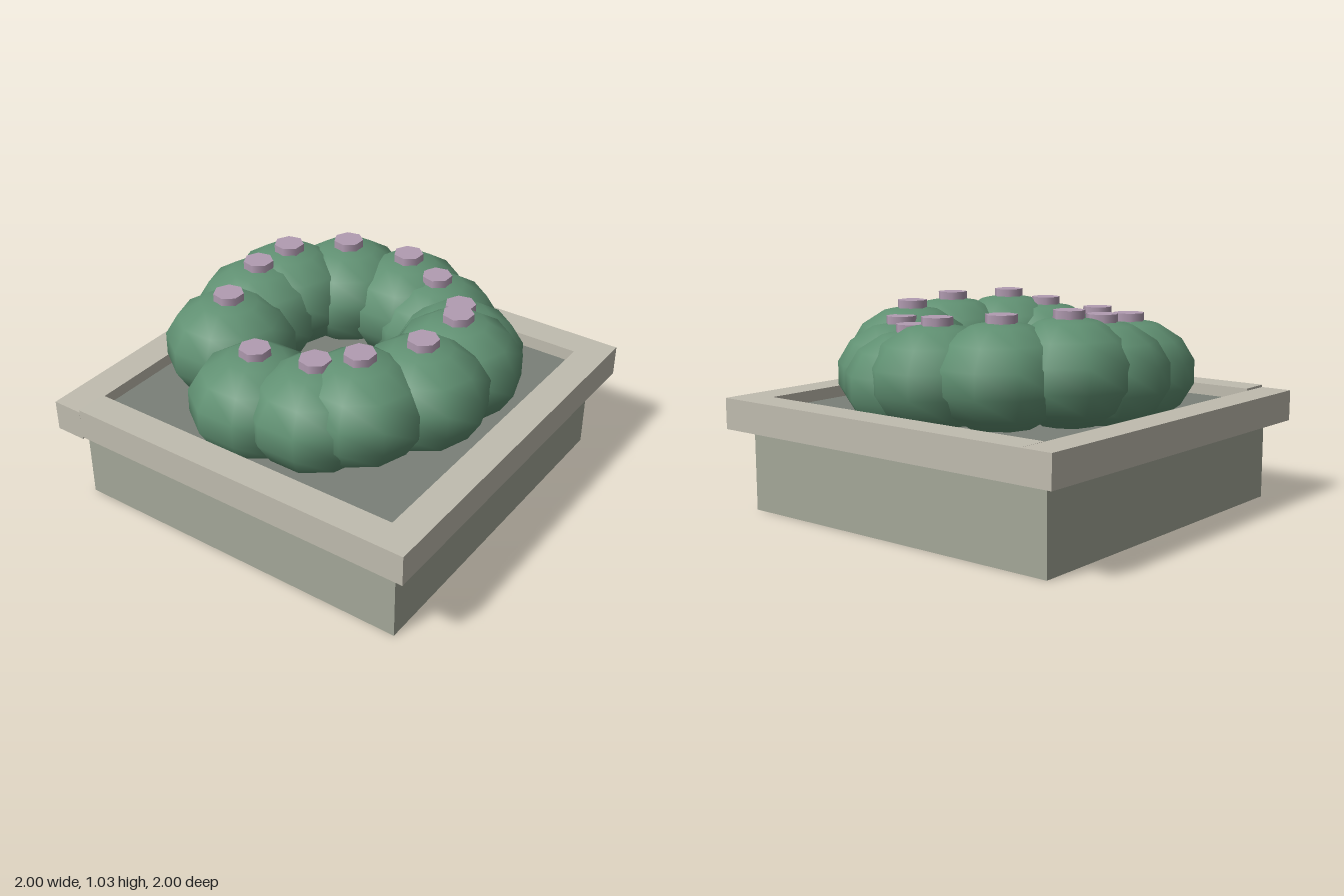
import * as THREE from 'three';

const mat = (color, flatShading = false) => new THREE.MeshStandardMaterial({ color, flatShading });

// Shrub spots around the ring: x, z and the height of the flower top
const SPOTS = [
  [-0.26, -0.505, 0.98], [0.05, -0.565, 1.005], [0.24, -0.515, 1.035], [0.475, -0.31, 1.02],
  [0.565, 0, 0.995], [0.53, 0.195, 0.945], [0.34, 0.445, 0.95], [0.165, 0.535, 1.01],
  [-0.15, 0.54, 1.03], [-0.42, 0.38, 1.035], [-0.525, 0.21, 0.995], [-0.56, -0.105, 0.96],
];

export function createModel() {
  const root = new THREE.Group();
  root.name = 'planter';

  const add = (parent, name, geometry, material, x, y, z) => {
    const mesh = new THREE.Mesh(geometry, material);
    mesh.name = name;
    mesh.position.set(x, y, z);
    parent.add(mesh);
    return mesh;
  };

  // Square stone base and the soil bed set into it
  add(root, 'base', new THREE.BoxGeometry(1.81, 0.41, 1.81), mat(0xa4a899), 0, 0.205, 0);
  add(root, 'soil', new THREE.BoxGeometry(1.65, 0.12, 1.65), mat(0x7a8078), 0, 0.45, 0);

  // Rim of four coping stones
  const rim = new THREE.Group();
  rim.name = 'rim';
  root.add(rim);
  const stone = mat(0xc0bcaf);
  for (const s of [-1, 1]) {
    add(rim, s > 0 ? 'frontRim' : 'backRim', new THREE.BoxGeometry(2, 0.155, 0.16), stone, 0, 0.4875, s * 0.92);
    add(rim, s > 0 ? 'leftRim' : 'rightRim', new THREE.BoxGeometry(0.16, 0.155, 1.68), stone, s * 0.92, 0.4875, 0);
  }
  // The back stone has settled slightly at one end
  const back = rim.getObjectByName('backRim');
  back.rotation.z = 0.006;
  back.position.y -= 0.006;

  // Ring of squashed round shrubs, each topped by a flower
  const plants = new THREE.Group();
  plants.name = 'shrubRing';
  root.add(plants);
  const shrubGeo = new THREE.SphereGeometry(0.328, 10, 7).rotateY(Math.PI / 2).scale(1, 0.8, 1);
  const flowerGeo = new THREE.CylinderGeometry(0.076, 0.076, 0.07, 7).rotateY(Math.PI);
  const leaf = mat(0x609072);
  const petal = mat(0xb29cb2);
  for (const [x, z, top] of SPOTS) {
    add(plants, 'shrub', shrubGeo, leaf, x, top - 0.288, z);
    add(plants, 'flower', flowerGeo, petal, x, top - 0.035, z);
  }
  return root;
}
